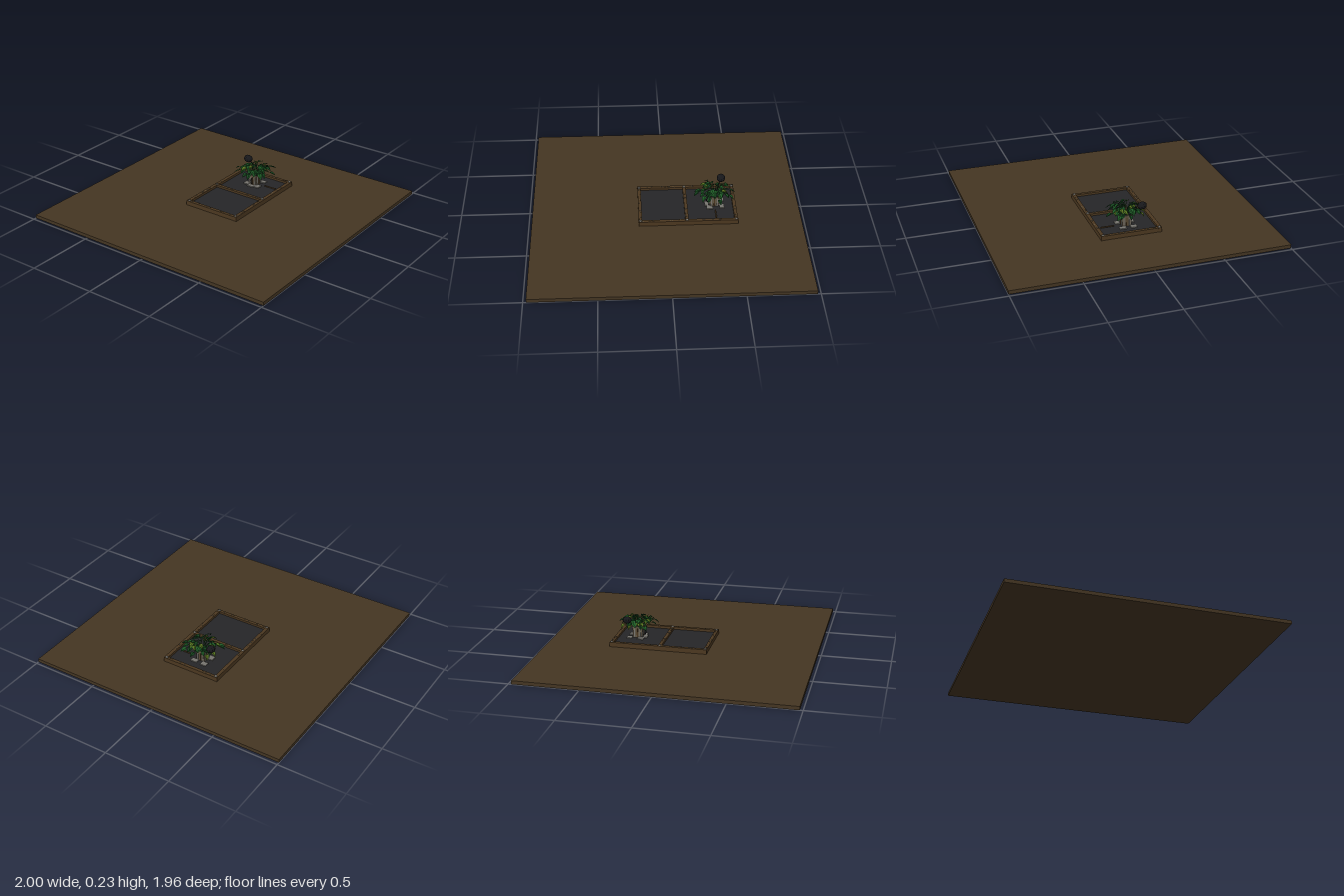
import * as THREE from 'three';
import { mergeGeometries } from 'three/addons/utils/BufferGeometryUtils.js';

const mat = (name, color, side = THREE.FrontSide) => {
  const m = new THREE.MeshStandardMaterial({ color, side, flatShading: true });
  m.name = name;
  return m;
};

export function createModel() {
  const root = new THREE.Group();
  root.name = 'plantedTray';
  const earth = mat('earth brown', 0x443522);
  const wood = mat('wood brown', 0x4c3820);
  const soil = mat('dark soil', 0x252527);
  const stone = mat('stone grey', 0x77756f);
  const clay = mat('pot brown', 0x625745);
  const green = mat('leaf green', 0x1d5a25, THREE.DoubleSide);
  const deep = mat('deep leaf green', 0x14421c, THREE.DoubleSide);
  const lime = mat('young leaf green', 0x55721f, THREE.DoubleSide);
  const black = mat('black', 0x17171a, THREE.DoubleSide);

  let seed = 7;
  const rnd = (a = 0, b = 1) => {
    seed = (seed * 16807) % 2147483647;
    return a + (b - a) * seed / 2147483647;
  };
  const add = (name, geo, material, x = 0, y = 0, z = 0, parent = root) => {
    const m = new THREE.Mesh(geo, material);
    m.name = name;
    m.position.set(x, y, z);
    parent.add(m);
    return m;
  };
  const box = (name, w, h, d, material, x, y, z, parent) =>
    add(name, new THREE.BoxGeometry(w, h, d), material, x, y, z, parent);

  // Ground slab
  box('groundSlab', 2, 0.026, 1.956, earth, 0, 0.013, 0);

  // Two-bay wooden tray
  const tray = new THREE.Group();
  tray.name = 'tray';
  root.add(tray);
  for (const s of [-1, 1]) box('sideRail', 0.026, 0.036, 0.72, wood, s * 0.212, 0.042, -0.155, tray);
  for (const z of [-0.502, -0.145, 0.192]) box('crossRail', 0.398, 0.034, 0.024, wood, 0, 0.041, z, tray);
  box('soilBed', 0.4, 0.016, 0.69, soil, 0, 0.034, -0.155, tray);

  // Round studs where the rails meet
  for (const s of [-1, 1]) for (const z of [-0.502, -0.145, 0.192]) {
    const stud = add('railStud', new THREE.SphereGeometry(0.011, 8, 6), stone, s * 0.208, 0.059, z, tray);
    stud.scale.y = 0.75;
  }

  // Small chips scattered along the rails
  const chips = [];
  const chip = (x, z) => {
    const g = new THREE.BoxGeometry(rnd(0.004, 0.009), 0.004, rnd(0.004, 0.009));
    g.rotateY(rnd(0, 3));
    chips.push(g.translate(x, 0.0605, z));
  };
  for (let i = 0; i < 14; i++) {
    for (const s of [-1, 1]) chip(s * rnd(0.204, 0.22), rnd(-0.49, 0.18));
    if (i % 2) for (const z of [-0.502, -0.145, 0.192]) chip(rnd(-0.19, 0.19), z + rnd(-0.008, 0.008));
  }
  add('railChips', mergeGeometries(chips), clay, 0, 0, 0, tray);

  // Paving pieces and a fallen twig on the soil
  for (const [x, z, w, d] of [[-0.05, -0.41, 0.045, 0.04], [-0.055, -0.325, 0.045, 0.045],
    [0.03, -0.41, 0.05, 0.035], [0.04, -0.32, 0.045, 0.045], [-0.005, -0.3, 0.05, 0.03]]) {
    box('pavingPiece', w, 0.008, d, stone, x, 0.045, z);
  }
  add('twig', new THREE.CylinderGeometry(0.004, 0.005, 0.1, 6).rotateZ(Math.PI / 2), wood, 0.13, 0.046, -0.36);

  // Square pot with rim, slats and side handle
  const pot = new THREE.Group();
  pot.name = 'pot';
  pot.position.set(-0.005, 0, -0.355);
  root.add(pot);
  add('potBody', new THREE.CylinderGeometry(0.05, 0.046, 0.075, 4).rotateY(Math.PI / 4), clay, 0, 0.08, 0, pot);
  box('potRim', 0.08, 0.012, 0.08, clay, 0, 0.121, 0, pot);
  box('potSoil', 0.064, 0.004, 0.064, soil, 0, 0.128, 0, pot);
  for (let k = 0; k < 4; k++) for (const s of [-1, 0, 1]) {
    const slat = new THREE.BoxGeometry(0.008, 0.066, 0.004).translate(s * 0.022, 0.08, 0.035);
    add('potSlat', slat.rotateY(k * Math.PI / 2), s ? stone : wood, 0, 0, 0, pot);
  }
  const handle = add('potHandle', new THREE.TorusGeometry(0.021, 0.004, 6, 12, Math.PI), black, 0, 0.08, 0.036, pot);
  handle.rotation.set(0, -Math.PI / 2, -Math.PI / 2, 'YXZ');

  // Leaf folded along its midrib, root at the origin and tip along +z
  const leafGeometry = (len) => {
    const outline = [[0, 0], [0.3, 0.12], [0.36, 0.4], [0.2, 0.75], [0, 1]];
    const p = [];
    for (const s of [-1, 1]) for (let i = 0; i < 4; i++) {
      const [a, b] = [outline[i], outline[i + 1]];
      const at = ([w, t], e) => [s * w * e * len, (w * e * 0.35 - t * t * 0.35) * len, t * len];
      const [a0, a1, b0, b1] = [at(a, 0), at(a, 1), at(b, 0), at(b, 1)];
      const quad = s > 0 ? [a0, b0, b1, a0, b1, a1] : [a0, b1, b0, a0, a1, b1];
      p.push(...quad.flat());
    }
    const g = new THREE.BufferGeometry();
    g.setAttribute('position', new THREE.Float32BufferAttribute(p, 3));
    g.computeVertexNormals();
    return g;
  };

  // Arching stems with leaves along their outer half
  const groups = [[], [], []], stems = [];
  const count = 24;
  for (let i = 0; i < count; i++) {
    const a = i * 2.39996 + rnd(-0.2, 0.2);
    const r = 0.03 + 0.095 * Math.sqrt((i + 0.5) / count);
    const top = 0.215 - 0.45 * r + rnd(-0.012, 0.012);
    const dir = new THREE.Vector3(Math.sin(a), 0, Math.cos(a));
    const point = (d, y) => dir.clone().multiplyScalar(d).setY(y);
    const curve = new THREE.QuadraticBezierCurve3(point(0.012, 0.125), point(r * 0.4, top + 0.035), point(r, top));
    stems.push(new THREE.TubeGeometry(curve, 6, 0.002, 4));
    [1, 0.72, 0.5].slice(0, i < 6 ? 2 : 3).forEach((t, k) => {
      const g = leafGeometry(rnd(0.037, 0.05));
      g.rotateZ(rnd(-0.35, 0.35)).rotateX(rnd(0, 0.55));
      g.rotateY(a + (k === 0 ? 0 : (k === 1 ? 0.9 : -0.9)));
      const q = curve.getPoint(t);
      g.translate(q.x, q.y, q.z);
      groups[(i + k) % 5 === 0 ? 2 : (i + k) % 2].push(g);
    });
  }
  const plant = new THREE.Group();
  plant.name = 'plant';
  plant.position.set(-0.005, 0, -0.355);
  root.add(plant);
  add('stems', mergeGeometries(stems), deep, 0, 0, 0, plant);
  [['leaves', green], ['shadedLeaves', deep], ['youngLeaves', lime]].forEach(([name, m], i) =>
    add(name, mergeGeometries(groups[i]), m, 0, 0, 0, plant));

  // Dark round bloom on a leaning stalk
  const stalk = new THREE.QuadraticBezierCurve3(new THREE.Vector3(-0.015, 0.125, -0.365),
    new THREE.Vector3(-0.05, 0.19, -0.39), new THREE.Vector3(-0.105, 0.195, -0.412));
  add('bloomStalk', new THREE.TubeGeometry(stalk, 8, 0.003, 5), black);
  const bloom = add('bloom', new THREE.SphereGeometry(0.034, 10, 7), black, -0.11, 0.2, -0.412);
  bloom.scale.set(1, 0.78, 0.95);
  bloom.rotation.z = -0.3;
  return root;
}
